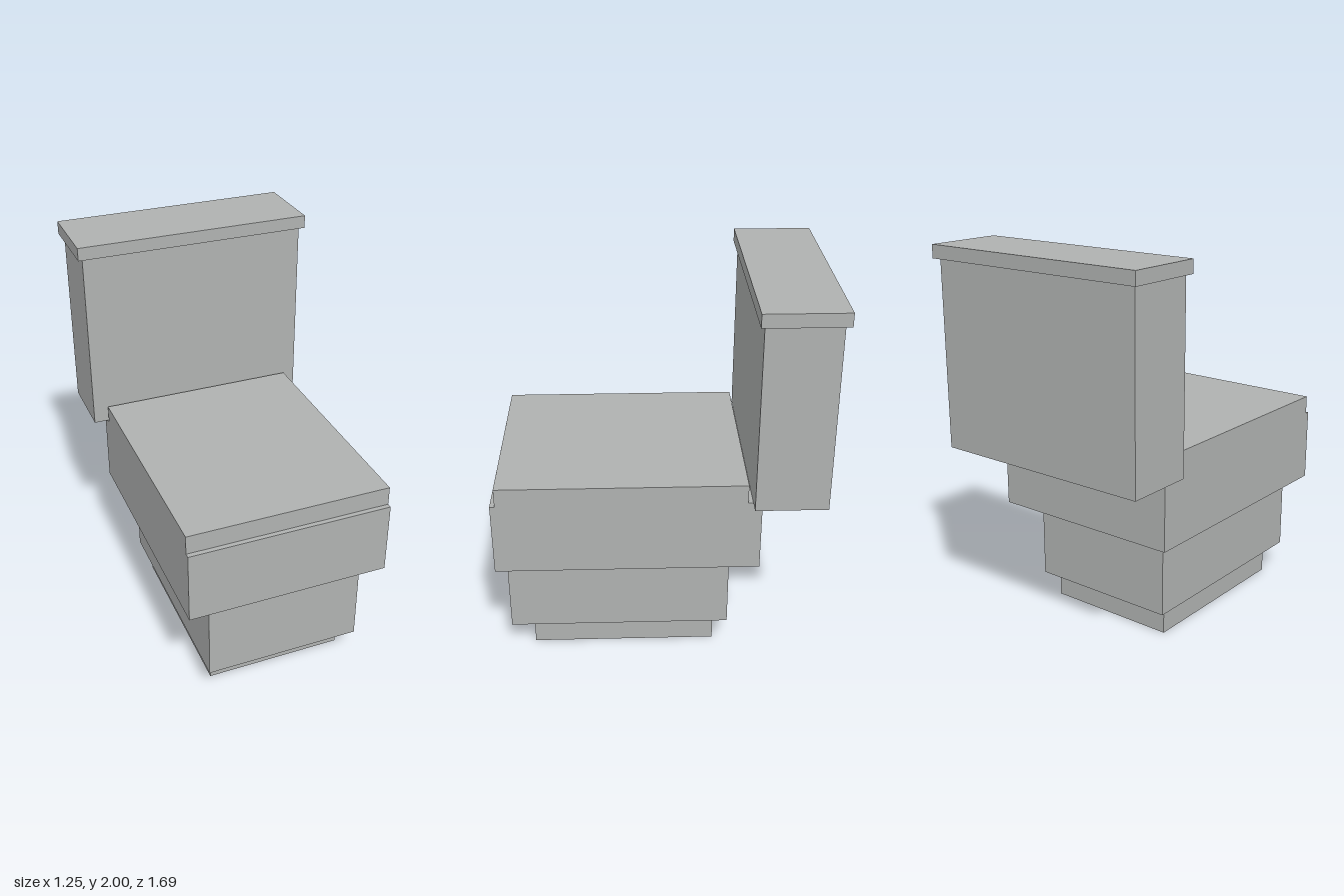
import * as THREE from 'three';

export function createModel() {
  const group = new THREE.Group();
  const ceramic = new THREE.MeshStandardMaterial({ color: 0xb0b2b1 });
  ceramic.name = 'greyCeramic';

  // Box given by half width, bottom and top, back and front
  function block(name, halfWidth, y0, y1, z0, z1) {
    const mesh = new THREE.Mesh(
      new THREE.BoxGeometry(halfWidth * 2, y1 - y0, z1 - z0), ceramic);
    mesh.position.set(0, (y0 + y1) / 2, (z0 + z1) / 2);
    mesh.name = name;
    group.add(mesh);
  }

  // Stepped foot and bowl
  block('base', 0.363, 0, 0.148, -0.286, 0.68);
  block('pedestal', 0.41, 0.148, 0.583, -0.36, 0.797);
  block('bowl', 0.528, 0.583, 0.966, -0.503, 0.845);
  block('seatLid', 0.528, 0.966, 1.065, -0.432, 0.82);

  // Water tank behind the seat
  block('tank', 0.602, 0.966, 1.932, -0.819, -0.456);
  block('tankLid', 0.627, 1.932, 2, -0.845, -0.436);

  return group;
}
